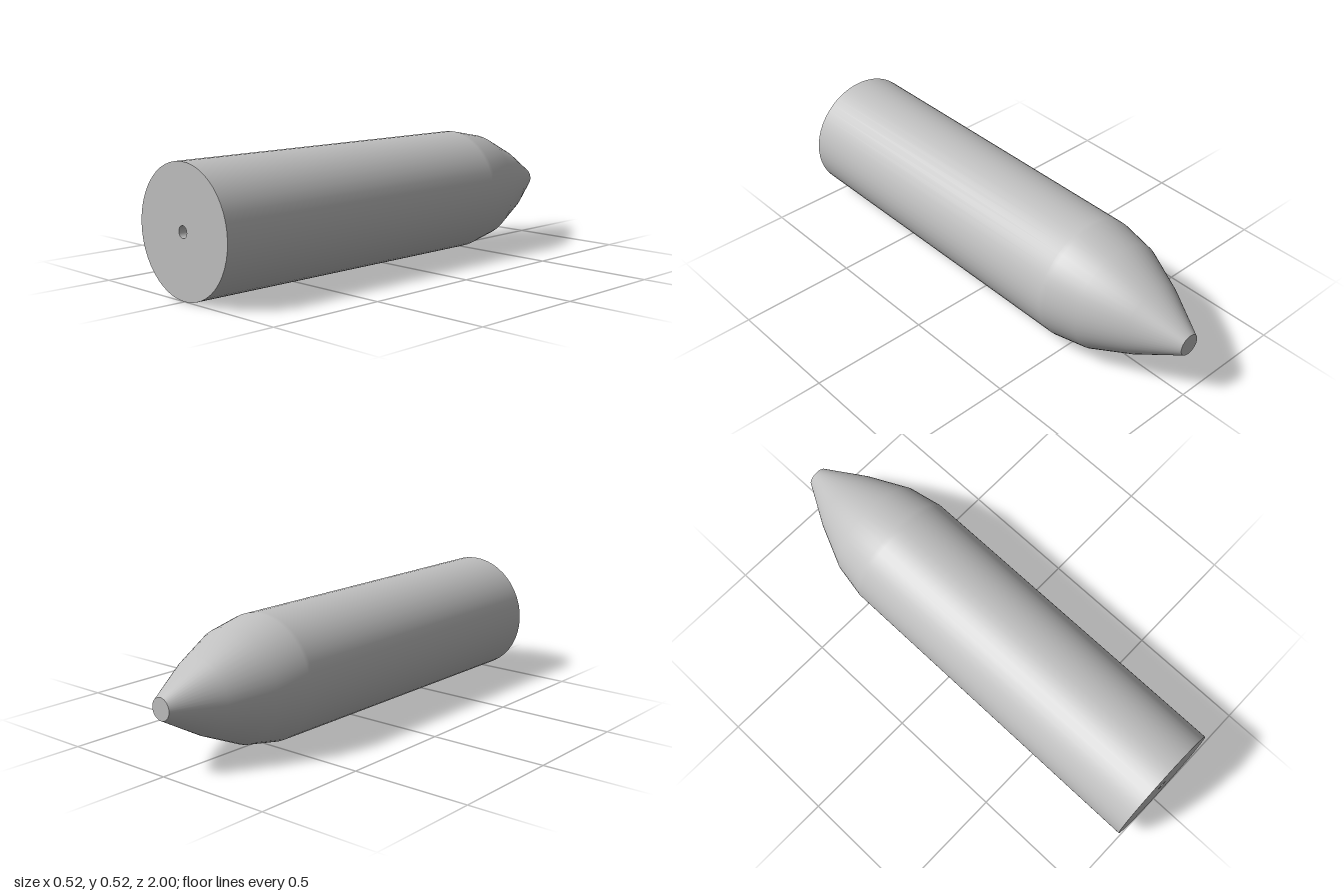
import * as THREE from 'three';

const SIDES = 48;
const RADIUS = 0.26;
const HOLE = 0.024;
const HOLE_DEPTH = 0.15;
const TIP = 0.045;

export function createModel() {
  const model = new THREE.Group();
  model.name = 'roundNosedShell';
  const grey = new THREE.MeshStandardMaterial({ color: 0xc0c0c0 });
  grey.name = 'plain grey';

  // Every part shares one axis along z, at the height of the radius
  const add = (name, geometry, z = 0) => {
    const mesh = new THREE.Mesh(geometry, grey);
    mesh.name = name;
    mesh.position.set(0, RADIUS, z);
    model.add(mesh);
  };

  // Turns [radius, z] pairs around the z axis
  const turned = (profile) => new THREE.LatheGeometry(
    profile.map(([r, z]) => new THREE.Vector2(r, -z)), SIDES,
  ).rotateX(-Math.PI / 2);

  // Straight body running smoothly into the tapered nose
  add('bodyAndNose', turned([
    [RADIUS, 1], [RADIUS, -0.46], [RADIUS, -0.48],
    [0.232, -0.63], [0.152, -0.81], [TIP, -1],
  ]));

  // Flat end of the nose
  add('noseTip', new THREE.CircleGeometry(TIP, SIDES).rotateY(Math.PI), -1);

  // Flat base with a small blind hole in its centre
  add('base', new THREE.RingGeometry(HOLE, RADIUS, SIDES), 1);
  add('holeWall', turned([[HOLE, 1 - HOLE_DEPTH], [HOLE, 1]]));
  add('holeFloor', new THREE.CircleGeometry(HOLE, SIDES), 1 - HOLE_DEPTH);

  return model;
}
